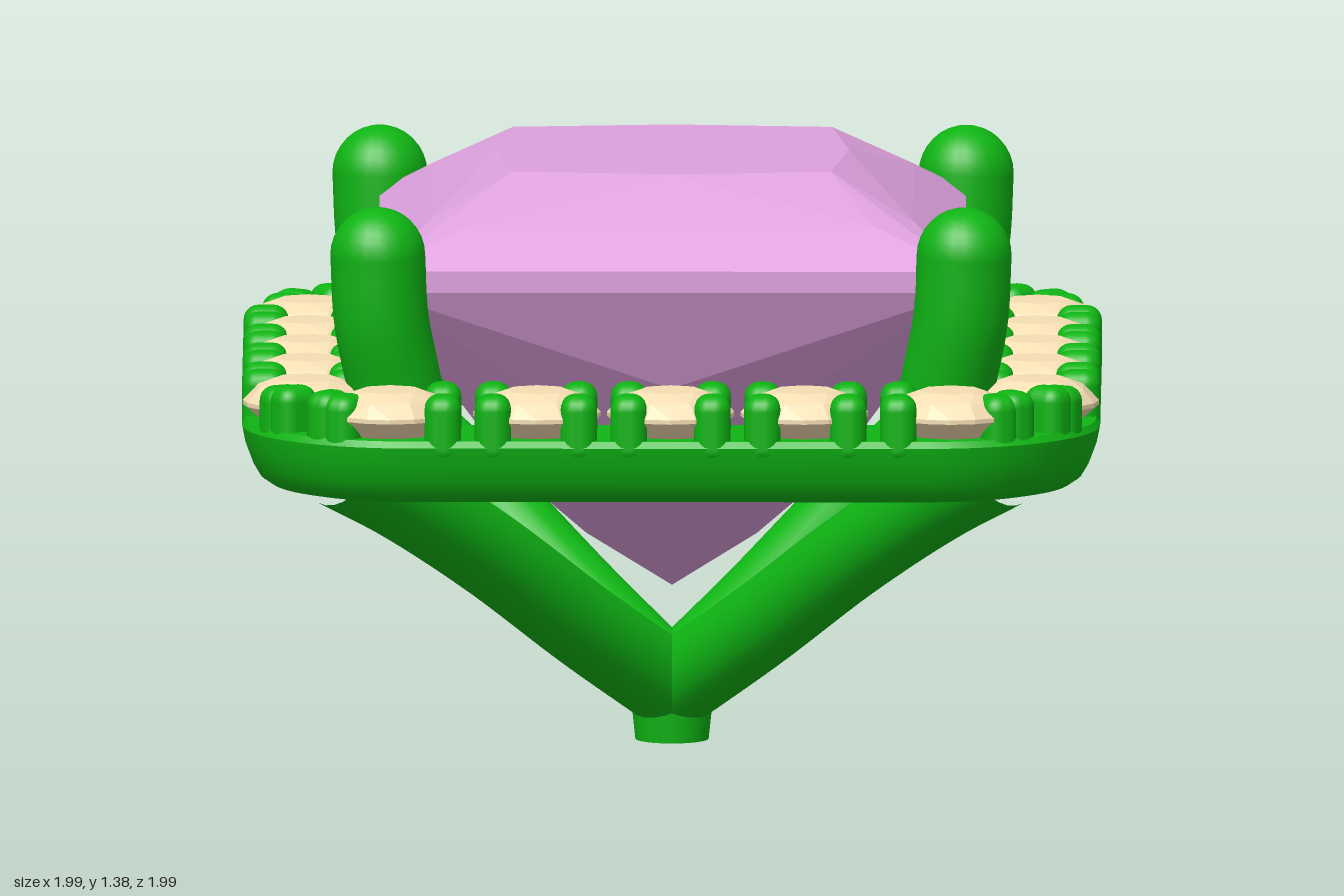
import * as THREE from 'three';
import { toCreasedNormals } from 'three/addons/utils/BufferGeometryUtils.js';
import { RoundedBoxGeometry } from 'three/addons/geometries/RoundedBoxGeometry.js';
import { ConvexGeometry } from 'three/addons/geometries/ConvexGeometry.js';

const metal = new THREE.MeshStandardMaterial({ color: 0x0fb414 });
const plum = new THREE.MeshStandardMaterial({ color: 0xdda0dd, flatShading: true });
const wheat = new THREE.MeshStandardMaterial({ color: 0xf5deb3, flatShading: true });

const INNER = 0.69, RADIUS = 0.09; // inner half width and corner radius of the halo

function add(parent, name, geometry, material) {
  const mesh = new THREE.Mesh(geometry, material);
  mesh.name = name;
  parent.add(mesh);
  return mesh;
}

// Sweep a closed profile of [outward offset, height] around a rounded square
function haloGeometry(profile) {
  const steps = 14, c = INNER - RADIUS, n = profile.length;
  const positions = [], index = [];
  for (let q = 0; q < 4; q++) {
    const mid = (q + 0.5) * Math.PI / 2;
    const cx = c * Math.sign(Math.cos(mid)), cz = c * Math.sign(Math.sin(mid));
    for (let i = 0; i <= steps; i++) {
      const t = (q + i / steps) * Math.PI / 2;
      for (const [o, y] of profile) {
        positions.push(cx + (RADIUS + o) * Math.cos(t), y, cz + (RADIUS + o) * Math.sin(t));
      }
    }
  }
  const rings = 4 * (steps + 1);
  for (let j = 0; j < rings; j++) {
    for (let p = 0; p < n; p++) {
      const p2 = (p + 1) % n, k = j * n, k2 = ((j + 1) % rings) * n;
      index.push(k + p, k + p2, k2 + p2, k + p, k2 + p2, k2 + p);
    }
  }
  const g = new THREE.BufferGeometry();
  g.setAttribute('position', new THREE.Float32BufferAttribute(positions, 3));
  g.setIndex(index);
  return toCreasedNormals(g, 0.7);
}

// Square centre stone: table, crown, girdle and curved pavilion
function centreStoneGeometry() {
  const pts = [new THREE.Vector3(0, 0.36, 0)];
  const corners = (a, b, y) => {
    for (const sx of [-1, 1]) for (const sz of [-1, 1]) pts.push(new THREE.Vector3(sx * a, y, sz * b));
  };
  const middles = (a, y) => {
    for (const s of [-1, 1]) pts.push(new THREE.Vector3(s * a, y, 0), new THREE.Vector3(0, y, s * a));
  };
  corners(0.37, 0.37, 1.38);
  middles(0.41, 1.38);
  corners(0.56, 0.47, 1.28);
  corners(0.47, 0.56, 1.28);
  corners(0.68, 0.68, 1.19);
  corners(0.68, 0.68, 1.14);
  for (const [s, y] of [[0.57, 0.9], [0.41, 0.68], [0.22, 0.51]]) {
    middles(s, y);
    corners(s * 0.9, s * 0.9, y);
  }
  return new ConvexGeometry(pts);
}

// Small round brilliant
function smallStoneGeometry() {
  const pts = [new THREE.Vector3(0, 0.75, 0)];
  const ring = (count, r, y, turn) => {
    for (let i = 0; i < count; i++) {
      const a = (i + turn) / count * Math.PI * 2;
      pts.push(new THREE.Vector3(r * Math.cos(a), y, r * Math.sin(a)));
    }
  };
  ring(8, 0.075, 0.937, 0);
  ring(8, 0.12, 0.918, 0.5);
  ring(16, 0.148, 0.886, 0);
  ring(16, 0.148, 0.876, 0);
  return new ConvexGeometry(pts);
}

export function createModel() {
  const model = new THREE.Group();
  model.name = 'gemSetting';

  add(model, 'centreStone', centreStoneGeometry(), plum);

  // Halo base
  add(model, 'haloBase', haloGeometry([
    [0, 0.7], [0.02, 0.68], [0.2, 0.68], [0.235, 0.687], [0.262, 0.705], [0.28, 0.735],
    [0.297, 0.78], [0.305, 0.82], [0.295, 0.835], [0.02, 0.835], [0, 0.815],
  ]), metal);

  // Halo stones and the beads that hold them, one side at a time
  const stone = smallStoneGeometry();
  const bead = new RoundedBoxGeometry(0.085, 0.16, 0.105, 3, 0.036);
  for (let q = 0; q < 4; q++) {
    const side = new THREE.Group();
    side.name = 'haloSide';
    side.rotation.y = q * Math.PI / 2;
    model.add(side);
    for (const x of [-0.65, -0.31, 0, 0.31, 0.65]) {
      add(side, 'haloStone', stone, wheat).position.set(x, 0, 0.845);
    }
    for (const x of [-0.47, -0.155, 0.155, 0.47]) {
      for (const dx of [-0.058, 0.058]) {
        for (const z of [0.742, 0.943]) add(side, 'bead', bead, metal).position.set(x + dx, 0.86, z);
      }
    }
    // Pair of beads and a low web around the corner
    for (const deg of [35, 55]) {
      const a = deg * Math.PI / 180;
      const b = add(side, 'cornerBead', bead, metal);
      b.position.set(0.6 + 0.335 * Math.sin(a), 0.86, 0.6 + 0.335 * Math.cos(a));
      b.rotation.y = a;
    }
    // Outer bead beyond the last stone of each end
    for (const s of [-1, 1]) {
      const b = add(side, 'endBead', bead, metal);
      b.position.set(s * 0.755, 0.855, 0.9);
      b.rotation.y = s * 0.48;
    }
  }

  // Corner prongs and the struts that meet at the foot
  const diagonal = points => new THREE.CatmullRomCurve3(points.map(([d, y]) => new THREE.Vector3(d, y, d)));
  const prong = new THREE.TubeGeometry(
    diagonal([[0.61, 0.72], [0.642, 0.92], [0.672, 1.08], [0.68, 1.23]]), 16, 0.11, 24);
  const tip = new THREE.SphereGeometry(0.11, 24, 16);
  const strut = new THREE.TubeGeometry(
    diagonal([[0, 0.12], [0.2, 0.29], [0.42, 0.49], [0.62, 0.65], [0.77, 0.75]]), 24, 0.1, 24);
  const pos = strut.attributes.position;
  for (let i = 0; i < pos.count; i++) pos.setY(i, Math.max(pos.getY(i), 0));
  for (let q = 0; q < 4; q++) {
    const corner = new THREE.Group();
    corner.name = 'cornerSupport';
    corner.rotation.y = q * Math.PI / 2;
    model.add(corner);
    add(corner, 'prong', prong, metal);
    add(corner, 'prongTip', tip, metal).position.set(0.68, 1.23, 0.68);
    add(corner, 'strut', strut, metal);
  }

  // Flattened foot where the struts join
  const foot = add(model, 'foot', new THREE.CylinderGeometry(0.1, 0.085, 0.14, 24), metal);
  foot.position.y = 0.07;
  return model;
}
